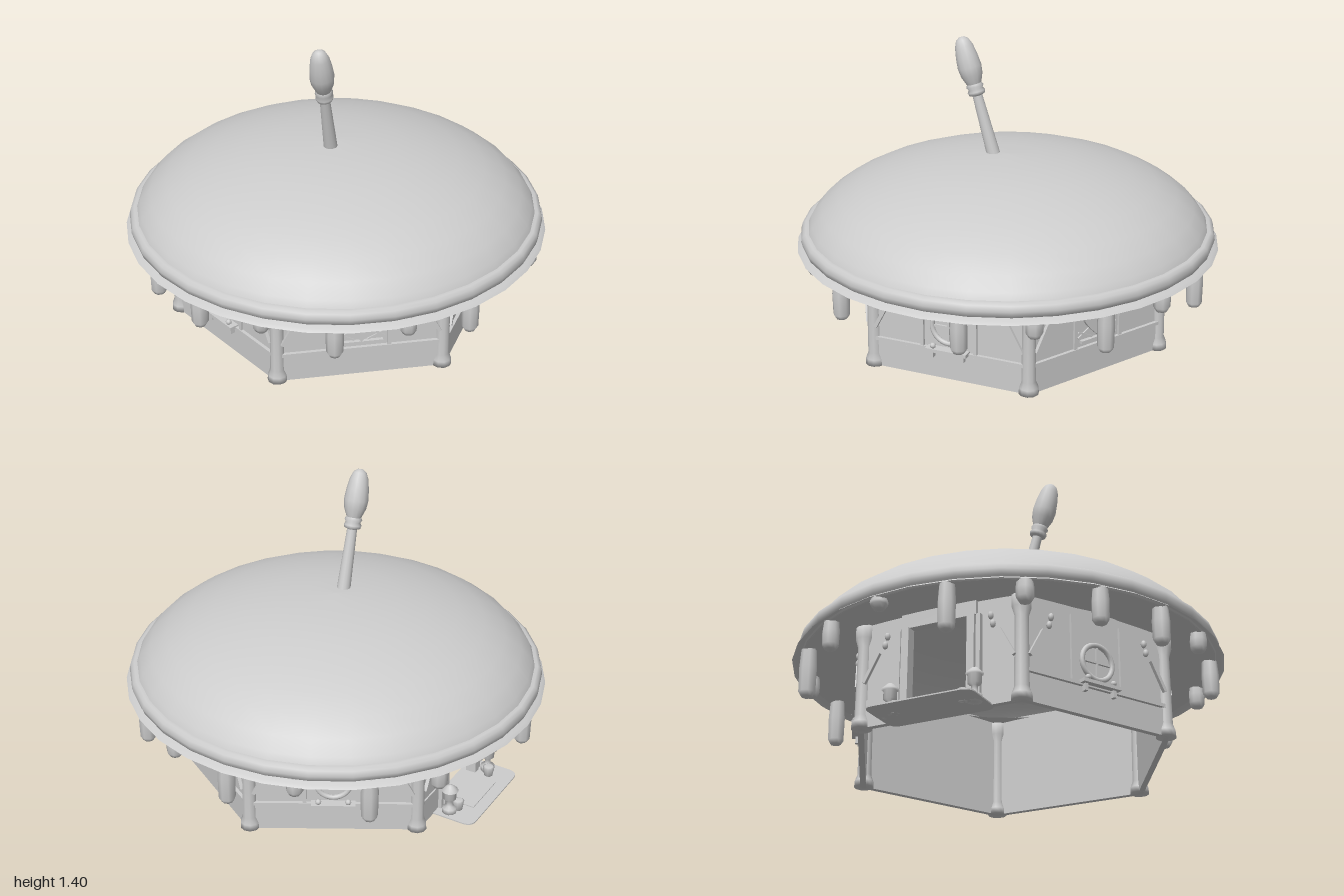
import * as THREE from 'three';

const plaster = new THREE.MeshStandardMaterial({ color: 0xcccccc, side: THREE.DoubleSide });
plaster.name = 'light grey';

const APOTHEM = 0.658, HALF = 0.38, CORNER = 0.76, WALL_TOP = 0.5;
const rad = THREE.MathUtils.degToRad;

function add(parent, name, geo, x = 0, y = 0, z = 0) {
  const m = new THREE.Mesh(geo, plaster);
  m.name = name;
  m.position.set(x, y, z);
  parent.add(m);
  return m;
}
const box = (p, name, w, h, d, x, y, z) => add(p, name, new THREE.BoxGeometry(w, h, d), x, y, z);
const lathe = (pts, n) => new THREE.LatheGeometry(pts.map(([r, y]) => new THREE.Vector2(r, y)), n);

// Slim straight beam between two points on the wall plane
function beam(p, name, x1, y1, x2, y2, z, w = 0.016) {
  const m = box(p, name, w, Math.hypot(x2 - x1, y2 - y1), w, (x1 + x2) / 2, (y1 + y2) / 2, z);
  m.rotation.z = -Math.atan2(x2 - x1, y2 - y1);
}

function heartShape(s) {
  const h = new THREE.Shape();
  h.moveTo(0, -0.08 * s);
  h.bezierCurveTo(-0.03 * s, -0.045 * s, -0.085 * s, -0.01 * s, -0.085 * s, 0.035 * s);
  h.bezierCurveTo(-0.085 * s, 0.085 * s, -0.02 * s, 0.09 * s, 0, 0.05 * s);
  h.bezierCurveTo(0.02 * s, 0.09 * s, 0.085 * s, 0.085 * s, 0.085 * s, 0.035 * s);
  h.bezierCurveTo(0.085 * s, -0.01 * s, 0.03 * s, -0.045 * s, 0, -0.08 * s);
  return h;
}

// Round window with cross bars and a flower shelf
function roundWindow(w) {
  add(w, 'windowFrame', new THREE.TorusGeometry(0.08, 0.012, 8, 28), 0, 0.255, 0.016);
  box(w, 'windowBar', 0.15, 0.01, 0.012, 0, 0.255, 0.014);
  box(w, 'windowBar', 0.01, 0.15, 0.012, 0, 0.255, 0.014);
  box(w, 'windowShelf', 0.2, 0.016, 0.05, 0, 0.145, 0.03);
  for (const x of [-0.075, 0.075]) {
    box(w, 'shelfBracket', 0.016, 0.04, 0.035, x, 0.125, 0.022);
    add(w, 'shelfFlower', new THREE.SphereGeometry(0.014, 8, 6), x * 0.9, 0.165, 0.04);
  }
}

// Heart plaque with crossed rods behind it
function heartPlaque(w) {
  const geo = new THREE.ExtrudeGeometry(heartShape(1.02), { depth: 0.016, bevelEnabled: false, curveSegments: 10 });
  add(w, 'heart', geo, 0, 0.26, 0.012);
  for (const s of [-1, 1]) {
    beam(w, 'crossedRod', s * 0.11, 0.19, -s * 0.11, 0.32, 0.012, 0.01);
    beam(w, 'crossedRod', s * 0.11, 0.22, s * 0.03, 0.18, 0.012, 0.008);
  }
  box(w, 'plaqueLedge', 0.2, 0.014, 0.024, 0, 0.172, 0.016);
}

function trim(w, door) {
  for (const s of [-1, 1]) {
    beam(w, 'brace', s * 0.36, 0.2, s * 0.29, 0.33, 0.03);
    for (const [x, y] of [[0.25, 0.40], [0.26, 0.36]])
      add(w, 'hangingDrop', new THREE.SphereGeometry(0.013, 8, 6), s * x, y, 0.03).scale.y = 1.4;
    if (!door) box(w, 'stud', 0.016, 0.31, 0.016, s * 0.13, 0.295, 0.014);
  }
  if (door) return;
  box(w, 'baseboard', 2 * HALF, 0.125, 0.01, 0, 0.0625, 0.012);
  box(w, 'rail', 2 * HALF, 0.016, 0.02, 0, 0.138, 0.016);
}

// Doorway with jambs, lamps and a rounded mat
function doorway(w) {
  for (const s of [-1, 1]) {
    box(w, 'doorSidePanel', HALF - 0.15, WALL_TOP, 0.02, s * 0.265, WALL_TOP / 2, 0);
    box(w, 'sideBaseboard', HALF - 0.15, 0.125, 0.01, s * 0.265, 0.0625, 0.012);
    box(w, 'doorJamb', 0.035, 0.42, 0.05, s * 0.158, 0.21, 0.015);
    box(w, 'jambTrim', 0.02, 0.42, 0.03, s * 0.192, 0.21, 0.02);
    const lamp = lathe([[0, 0], [0.034, 0], [0.034, 0.03], [0.014, 0.04], [0.014, 0.07], [0.03, 0.08],
      [0.03, 0.12], [0.04, 0.125], [0.014, 0.15], [0, 0.155]], 10);
    add(w, 'doorLamp', lamp, s * 0.2, 0, 0.075);
    add(w, 'smallPot', lathe([[0, 0], [0.02, 0], [0.028, 0.05], [0.02, 0.055], [0, 0.055]], 10), s * 0.16, 0, 0.1);
  }
  box(w, 'lintel', 0.36, 0.08, 0.04, 0, 0.46, 0.01);
  const rr = (a, b, r) => {
    const s = new THREE.Shape();
    s.moveTo(-a + r, -b); s.lineTo(a - r, -b); s.quadraticCurveTo(a, -b, a, -b + r);
    s.lineTo(a, b - r); s.quadraticCurveTo(a, b, a - r, b);
    s.lineTo(-a + r, b); s.quadraticCurveTo(-a, b, -a, b - r);
    s.lineTo(-a, -b + r); s.quadraticCurveTo(-a, -b, -a + r, -b);
    return s;
  };
  const flat = { depth: 0.006, bevelEnabled: false };
  add(w, 'doormat', new THREE.ExtrudeGeometry(rr(0.25, 0.125, 0.05), flat), 0, 0, 0.09).rotation.x = -Math.PI / 2;
  add(w, 'doormatInset', new THREE.ExtrudeGeometry(rr(0.12, 0.05, 0.005), flat), 0, 0.004, 0.11).rotation.x = -Math.PI / 2;
}

export function createModel() {
  const model = new THREE.Group();

  // Six walls and corner posts
  const kinds = ['round', 'heart', 'round', 'door', 'round', 'heart'];
  const postGeo = lathe([[0, 0], [0.046, 0], [0.044, 0.03], [0.033, 0.06], [0.03, 0.38], [0.042, 0.42], [0.042, 0.48], [0, 0.48]], 10);
  kinds.forEach((kind, i) => {
    const a = rad(21 + 60 * i);
    const w = new THREE.Group();
    w.name = kind + 'Wall';
    w.rotation.y = a;
    w.position.set(Math.sin(a) * APOTHEM, 0, Math.cos(a) * APOTHEM);
    model.add(w);
    if (kind === 'door') doorway(w);
    else box(w, 'wallPanel', 2 * HALF, WALL_TOP, 0.02, 0, WALL_TOP / 2, 0);
    if (kind === 'round') roundWindow(w);
    if (kind === 'heart') heartPlaque(w);
    trim(w, kind === 'door');
    const c = a - rad(30);
    add(model, 'cornerPost', postGeo, Math.sin(c) * CORNER, 0, Math.cos(c) * CORNER);
  });

  // Domed roof, rolled rim and eaves
  add(model, 'roofDome', lathe([[0.945, 0.53], [0.93, 0.56], [0.88, 0.62], [0.8, 0.68], [0.7, 0.733], [0.58, 0.777],
    [0.44, 0.815], [0.3, 0.84], [0.15, 0.855], [0, 0.86]], 32));
  add(model, 'roofRim', lathe([[0.955, 0.455], [0.975, 0.47], [0.982, 0.495], [0.975, 0.52], [0.96, 0.53], [0.94, 0.53]], 32));
  add(model, 'roofLip', lathe([[1.0, 0.443], [0.985, 0.455], [0.95, 0.468]], 32));
  add(model, 'eaves', lathe([[0.68, 0.49], [0.96, 0.455]], 32));

  // Icing drips hanging from the rim, by the height of their tips
  const tips = [0.27, 0.42, 0.27, 0.35, 0.24, 0.34, 0.24, 0.36, 0.23, 0.33, 0.41, 0.25, 0.36, 0.3, 0.29, 0.37, 0.28, 0.36];
  tips.forEach((tip, i) => {
    const a = rad(-9 + 20 * i), len = 0.47 - tip;
    const geo = lathe([[0, 0], [0.025, 0.004], [0.038, Math.min(0.025, len * 0.4)], [0.04, len * 0.6], [0.034, len]], 8);
    add(model, 'icingDrip', geo, Math.sin(a) * 0.93, tip, Math.cos(a) * 0.93).rotation.y = a;
  });

  // Leaning dipper stick with a rounded head
  const stick = new THREE.Group();
  stick.name = 'dipperStick';
  stick.position.set(-0.062, 0.83, 0.025);
  stick.quaternion.setFromUnitVectors(new THREE.Vector3(0, 1, 0), new THREE.Vector3(-0.15, 0.565, 0.062).normalize());
  model.add(stick);
  add(stick, 'stickShaft', new THREE.CylinderGeometry(0.023, 0.033, 0.33, 14), 0, 0.165, 0);
  add(stick, 'stickCollar', lathe([[0.024, 0.31], [0.038, 0.315], [0.042, 0.33], [0.034, 0.342], [0.042, 0.355], [0.034, 0.37]], 14));
  add(stick, 'stickHead', lathe([[0.034, 0.365], [0.052, 0.41], [0.057, 0.45], [0.052, 0.5], [0.043, 0.55], [0.03, 0.58], [0.014, 0.592], [0, 0.594]], 14));

  return model;
}
